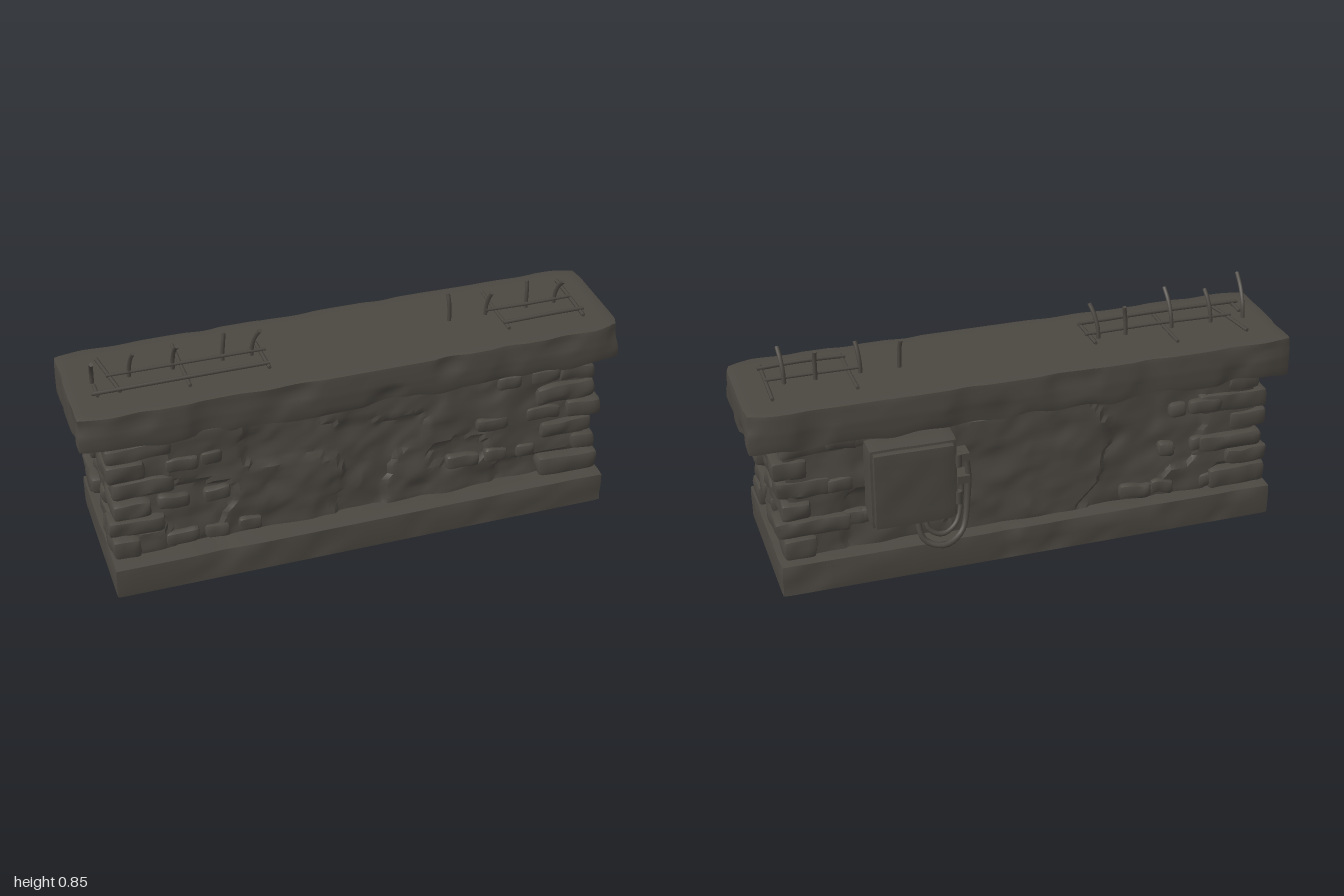
import * as THREE from 'three';
import { mergeVertices, toCreasedNormals } from 'three/addons/utils/BufferGeometryUtils.js';

const stone = new THREE.MeshStandardMaterial({ color: 0x4b4741 });
stone.name = 'weathered stone';

// Seeded smooth value noise, -1..1
function hash(x, y, z) {
  const s = Math.sin(x * 127.1 + y * 311.7 + z * 74.7) * 43758.5453;
  return (s - Math.floor(s)) * 2 - 1;
}
function noise(x, y, z) {
  const i = [x, y, z].map(Math.floor);
  const f = [x - i[0], y - i[1], z - i[2]].map(t => t * t * (3 - 2 * t));
  let sum = 0;
  for (let c = 0; c < 8; c++) {
    const d = [c & 1, (c >> 1) & 1, c >> 2];
    const w = d.reduce((p, b, k) => p * (b ? f[k] : 1 - f[k]), 1);
    sum += w * hash(i[0] + d[0], i[1] + d[1], i[2] + d[2]);
  }
  return sum;
}

// Rounded, subdivided block whose vertices are moved by a rule
function block(min, max, step, radius, rule) {
  const size = max.map((v, k) => v - min[k]);
  const mid = max.map((v, k) => (v + min[k]) / 2);
  const seg = size.map(s => Math.max(3, Math.round(s / step)));
  let geo = new THREE.BoxGeometry(...size, ...seg);
  geo.deleteAttribute('uv');
  geo.deleteAttribute('normal');
  geo = mergeVertices(geo, 1e-4);
  const pos = geo.attributes.position;
  const p = new THREE.Vector3(), core = new THREE.Vector3();
  const half = new THREE.Vector3(...size).multiplyScalar(0.5).subScalar(radius);
  for (let i = 0; i < pos.count; i++) {
    p.fromBufferAttribute(pos, i);
    core.copy(p).clamp(half.clone().negate(), half);
    p.sub(core).setLength(radius).add(core).add(new THREE.Vector3(...mid));
    rule(p);
    pos.setXYZ(i, p.x, p.y, p.z);
  }
  geo.computeVertexNormals();
  return toCreasedNormals(geo, 0.6);
}

function add(parent, name, geo) {
  const mesh = new THREE.Mesh(geo, stone);
  mesh.name = name;
  parent.add(mesh);
  return mesh;
}

function group(parent, name) {
  const g = new THREE.Group();
  g.name = name;
  parent.add(g);
  return g;
}

function rod(parent, name, points, r = 0.007, sides = 6) {
  const curve = new THREE.CatmullRomCurve3(points.map(p => new THREE.Vector3(...p)));
  const mesh = add(parent, name, new THREE.TubeGeometry(curve, points.length * 4, r, sides));
  // closed tips
  for (const t of [0, 1]) {
    const cap = add(parent, name + 'Tip', new THREE.CircleGeometry(r, sides));
    const dir = curve.getTangent(t).multiplyScalar(t ? 1 : -1);
    cap.position.copy(curve.getPoint(t));
    cap.quaternion.setFromUnitVectors(new THREE.Vector3(0, 0, 1), dir);
  }
  return mesh;
}

export function createModel() {
  const model = new THREE.Group();
  model.name = 'ruinedWall';

  // Plinth, flat on the ground with worn upper edges
  add(model, 'plinth', block([-0.93, 0, -0.277], [0.925, 0.122, 0.315], 0.03, 0.008, p => {
    const n = noise(p.x * 11, p.y * 14, p.z * 11);
    if (p.y > 0.02) {
      p.z -= Math.sign(p.z) * Math.max(0, n) * 0.014;
      p.x -= Math.sign(p.x) * Math.max(0, n) * 0.008;
    }
    if (p.y > 0.1) p.y -= Math.max(0, n) * 0.006;
  }));

  // Wall core with peeling plaster, leaning in towards the top
  add(model, 'wallCore', block([-0.88, 0.1, -0.22], [0.88, 0.58, 0.235], 0.02, 0.01, p => {
    const t = (p.y - 0.1) / 0.48, side = Math.sign(p.z);
    const n = noise(p.x * 9 + 5, p.y * 13, p.z * 9) + 0.5 * noise(p.x * 21, p.y * 30, p.z * 21);
    const chip = noise(p.x * 5, p.y * 7, side * 3.7) < -0.2 ? 0.012 : 0;
    p.z -= side * (t * 0.03 + n * 0.009 + chip);
    p.x += Math.sign(p.x) * n * 0.012;
  }));

  // Rubble stones stacked at the four corners
  const quoins = group(model, 'cornerStones');
  const rows = [0.12, 0.205, 0.275, 0.345, 0.42, 0.5, 0.565];
  for (const sx of [-1, 1]) for (const sz of [-1, 1]) {
    for (let i = 0; i < 6; i++) {
      const k = i + sx * 10 + sz * 30, t = i / 5;
      const r = s => hash(k, s, 1);
      const zOut = (sz > 0 ? 0.258 : 0.246) - 0.045 * t + r(1) * 0.009;
      const xOut = 0.918 + r(2) * 0.018 - (i === 5 ? 0.01 : 0);
      const long = (i + (sx * sz > 0 ? 1 : 0)) % 2;
      const xIn = xOut - (long ? 0.24 : 0.13) - r(3) * 0.04;
      const zIn = zOut - (long ? 0.11 : 0.19) - r(4) * 0.03;
      const xs = [sx * xOut, sx * xIn].sort((a, b) => a - b);
      const zs = [sz * zOut, sz * zIn].sort((a, b) => a - b);
      add(quoins, 'cornerStone', block([xs[0], rows[i] + 0.002, zs[0]],
        [xs[1], rows[i + 1] - 0.003, zs[1]], 0.018, 0.016, p => {
          const n = noise(p.x * 17 + k, p.y * 22, p.z * 17);
          p.x += sx * n * 0.007;
          p.z += sz * n * 0.007;
          p.y += noise(p.x * 12, k, p.z * 12) * 0.006;
        }));
    }
  }

  // Smaller stones showing through the plaster, front, back and ends
  const rubble = group(model, 'exposedStones');
  for (const sz of [-1, 1]) for (let i = 0; i < 14; i++) {
    const sx = i % 2 ? 1 : -1, row = i % 6;
    const x = sx * (0.68 - Math.floor(i / 6) * 0.14 + hash(i, sz, 3) * 0.05);
    const w = 0.05 + 0.02 * hash(i, 5, sz), y = rows[row] + 0.01;
    const z = sz * ((sz > 0 ? 0.226 : 0.211) - row * 0.005);
    add(rubble, 'exposedStone', block([x - w, y, z - 0.02], [x + w, y + 0.055, z + 0.02], 0.015, 0.014, p => {
      p.y += noise(p.x * 18, i, p.z * 18) * 0.007;
      p.z += noise(p.x * 20, p.y * 20, i) * 0.006;
    }));
  }
  for (const sx of [-1, 1]) for (let i = 0; i < 6; i++) {
    const z = hash(i, sx, 8) * 0.04, w = 0.07 + hash(i, 2, sx) * 0.02, x = sx * 0.885;
    add(rubble, 'endStone', block([x - 0.02, rows[i], z - w], [x + 0.02, rows[i + 1] - 0.005, z + w], 0.018, 0.014, p => {
      p.x += noise(i, p.y * 20, p.z * 20) * 0.009;
      p.y += noise(p.x * 14, i, p.z * 14) * 0.007;
    }));
  }

  // Coping slab with chipped sides and a ragged underside
  add(model, 'copingSlab', block([-1, 0.557, -0.237], [1, 0.702, 0.217], 0.022, 0.012, p => {
    const n = noise(p.x * 9, p.y * 12, p.z * 9 + 7);
    const end = Math.max(0, (Math.abs(p.x) - 0.9) / 0.1);
    p.z -= Math.sign(p.z) * (Math.max(0, n) * 0.016 + end * 0.016 * Math.abs(p.z) / 0.22);
    p.z += (p.y < 0.64 ? 1 : 0) * Math.sign(p.z) * 0.004;
    if (p.y < 0.6) p.y += noise(p.x * 10, 2, p.z * 8) * 0.013;
    if (Math.abs(p.x) > 0.96) p.x -= Math.sign(p.x) * Math.max(0, n) * 0.012;
  }));

  // Bent reinforcement bars on top: [x, height, lean x, lean z]
  const bars = group(model, 'reinforcementBars');
  const uprights = [
    [-0.9, 0.84, -0.012, 0.085], [-0.77, 0.82, 0.012, 0.03], [-0.615, 0.835, 0.006, 0.055],
    [-0.435, 0.812, 0.008, -0.015], [-0.33, 0.825, 0.022, 0.03], [0.415, 0.81, -0.005, -0.025],
    [0.555, 0.81, 0.008, 0.02], [0.715, 0.81, 0, -0.02], [0.825, 0.82, 0.008, 0.04]];
  for (const [x, top, lx, lz] of uprights) {
    const h = top - 0.69;
    rod(bars, 'uprightBar', [[x, 0.69, -0.015], [x + lx * 0.1, 0.69 + h * 0.4, -0.012 + lz * 0.1],
      [x + lx * 0.5, 0.69 + h * 0.75, -0.005 + lz * 0.45], [x + lx, top, lz]], 0.008);
  }
  const lying = [
    [-0.85, -0.012, -0.28, -0.008], [-0.92, 0.085, -0.29, 0.082], [-0.86, -0.14, -0.82, 0.085],
    [-0.585, -0.148, -0.585, 0.125], [-0.3, -0.07, -0.295, 0.1], [-0.9, 0.02, -0.9, 0.09],
    [0.55, -0.01, 0.89, -0.008], [0.585, 0.09, 0.9, 0.085], [0.595, -0.145, 0.595, 0.12], [0.89, -0.14, 0.885, 0.12]];
  lying.forEach(([x0, z0, x1, z1], i) => {
    const y = Math.abs(x1 - x0) > 0.1 ? 0.722 : 0.713;
    rod(bars, 'lyingBar', [[x0, y, z0], [(x0 + x1) / 2, y + hash(i, 1, 2) * 0.004, (z0 + z1) / 2 + 0.003], [x1, y, z1]], 0.007);
  });

  // Utility cabinet on the back
  const cabinet = group(model, 'utilityCabinet');
  const dent = p => { p.z += noise(p.x * 12, p.y * 12, 4) * 0.003; };
  add(cabinet, 'cabinetBody', block([0.285, 0.225, -0.292], [0.6, 0.54, -0.18], 0.025, 0.012, dent));
  add(cabinet, 'cabinetDoor', block([0.302, 0.235, -0.315], [0.59, 0.53, -0.285], 0.025, 0.008, dent));
  for (const y of [0.3, 0.45]) {
    add(cabinet, 'cabinetHinge', new THREE.CylinderGeometry(0.012, 0.012, 0.05, 10)).position.set(0.282, y, -0.285);
  }

  // Conduits looping down from the side and under the cabinet
  const pipes = group(model, 'conduits');
  rod(pipes, 'outerConduit', [[0.3, 0.45, -0.24], [0.25, 0.44, -0.24], [0.235, 0.38, -0.24], [0.24, 0.25, -0.245],
    [0.27, 0.15, -0.275], [0.34, 0.12, -0.3], [0.41, 0.145, -0.28], [0.43, 0.24, -0.255]], 0.011, 8);
  rod(pipes, 'innerConduit', [[0.3, 0.36, -0.24], [0.265, 0.35, -0.24], [0.262, 0.26, -0.24],
    [0.29, 0.18, -0.265], [0.345, 0.155, -0.28], [0.39, 0.18, -0.27], [0.4, 0.24, -0.25]], 0.009, 8);
  for (const y of [0.35, 0.44]) {
    add(pipes, 'conduitClamp', new THREE.BoxGeometry(0.045, 0.03, 0.07)).position.set(0.255, y, -0.225);
  }

  return model;
}
